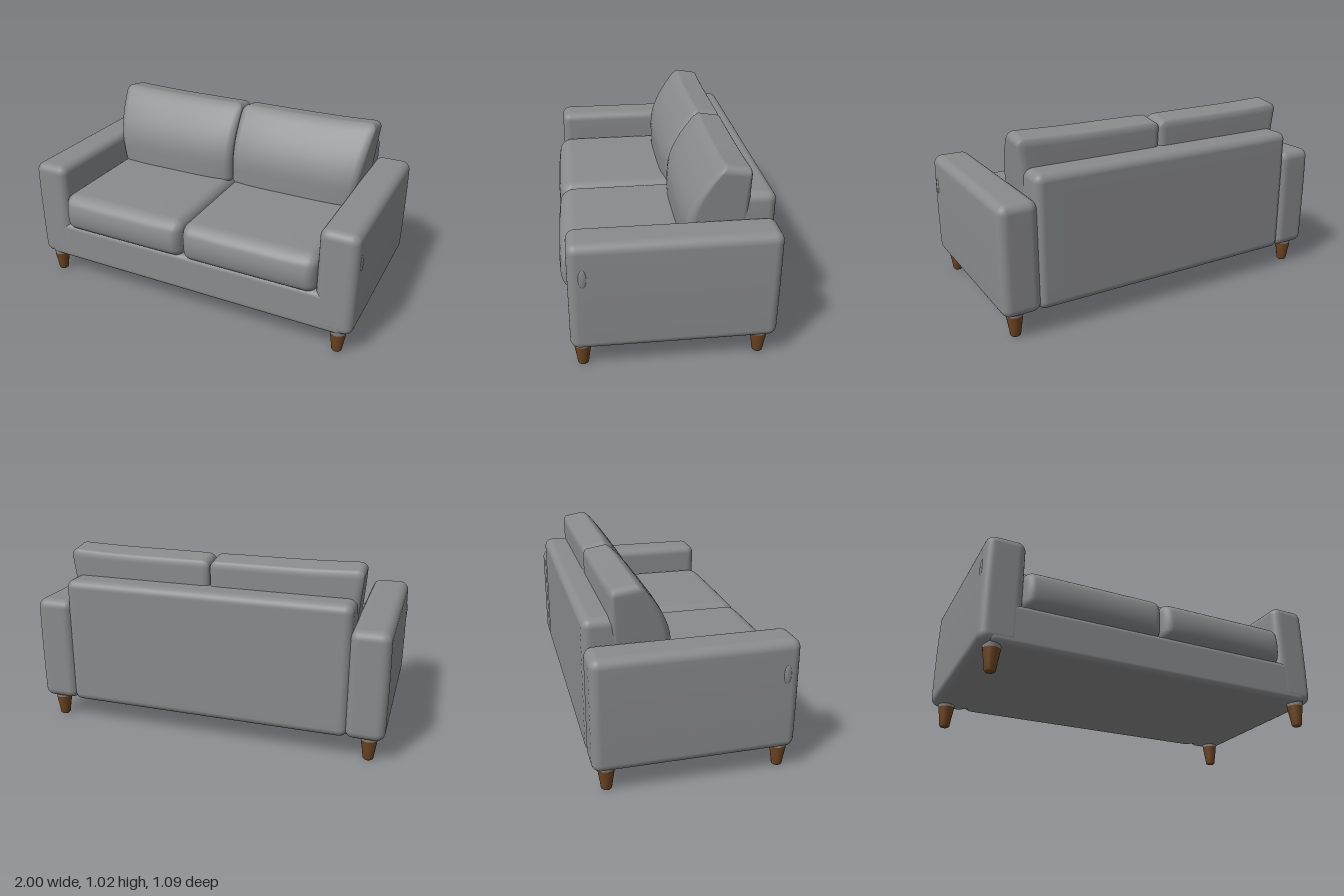
import * as THREE from 'three';
import { mergeVertices } from 'three/addons/utils/BufferGeometryUtils.js';

const N = 20, CORNER = 5; // segments per side, of which CORNER at each rounded end

// Rounded box given by its min/max corners; warp(p, u) may move a point p,
// where u holds the point's place in the box from -1 to 1 on each axis.
function softBox(min, max, r, warp) {
  const lo = new THREE.Vector3(...min), hi = new THREE.Vector3(...max);
  const mid = lo.clone().add(hi).multiplyScalar(0.5);
  const half = hi.clone().sub(lo).multiplyScalar(0.5);
  let geo = new THREE.BoxGeometry(2, 2, 2, N, N, N);
  const pos = geo.attributes.position;
  const p = new THREE.Vector3(), core = new THREE.Vector3(), u = new THREE.Vector3();

  // Spread the grid so the rounded ends get dense, even steps
  const place = (v, h) => {
    const i = Math.abs(Math.round(v * N / 2)), flat = N / 2 - CORNER, inner = h - r;
    const d = i <= flat ? inner * i / flat
      : inner + r * Math.tan((i - flat) / CORNER * Math.PI / 4);
    return Math.sign(v) * d;
  };

  for (let i = 0; i < pos.count; i++) {
    p.fromBufferAttribute(pos, i);
    p.set(place(p.x, half.x), place(p.y, half.y), place(p.z, half.z));
    const inner = half.clone().subScalar(r);
    core.copy(p).clamp(inner.clone().negate(), inner);
    p.sub(core).setLength(r).add(core);
    u.copy(p).divide(half);
    p.add(mid);
    if (warp) warp(p, u);
    pos.setXYZ(i, p.x, p.y, p.z);
  }
  geo.deleteAttribute('uv');
  geo.deleteAttribute('normal');
  geo = mergeVertices(geo, 1e-5);
  geo.computeVertexNormals();
  return geo;
}

export function createModel() {
  const sofa = new THREE.Group();
  sofa.name = 'sofa';
  const fabric = new THREE.MeshStandardMaterial({ color: 0x8a8b8d });
  fabric.name = 'grey fabric';
  const wood = new THREE.MeshStandardMaterial({ color: 0x6e4522 });
  wood.name = 'brown wood';

  const add = (name, geo, mat = fabric) => {
    const mesh = new THREE.Mesh(geo, mat);
    mesh.name = name;
    sofa.add(mesh);
    return mesh;
  };

  // Frame
  add('base', softBox([-0.94, 0.132, -0.5], [0.94, 0.36, 0.504], 0.03));
  add('backFrame', softBox([-0.797, 0.132, -0.545], [0.797, 0.855, -0.3], 0.045));

  // Leg outline: rounded foot widening to the top
  const legProfile = [[0, 0], [0.022, 0], [0.028, 0.006], [0.034, 0.05], [0.042, 0.1], [0.044, 0.117]]
    .map(([x, y]) => new THREE.Vector2(x, y));
  const legGeo = new THREE.LatheGeometry(legProfile, 24);
  const collarGeo = new THREE.CylinderGeometry(0.048, 0.043, 0.03, 24);

  for (const side of [1, -1]) {
    const label = side > 0 ? 'left' : 'right';
    const span = (a, b) => side > 0 ? [a, b] : [-b, -a];

    // Armrest with a faintly bulged outer face
    const [a0, a1] = span(0.78, 0.99);
    add(label + 'Armrest', softBox([a0, 0.132, -0.545], [a1, 0.73, 0.505], 0.048, (p, u) => {
      if (u.x * side > 0) p.x += side * 0.004 * (1 - u.y * u.y);
    }));

    // Small oval dimple pad on the arm's outer face
    const pad = add(label + 'ArmPad', new THREE.SphereGeometry(1, 20, 12));
    pad.scale.set(0.007, 0.05, 0.02);
    pad.position.set(side * 0.992, 0.555, 0.432);

    // Seat cushion with a swollen front
    const [s0, s1] = span(0.002, 0.785);
    add(label + 'SeatCushion', softBox([s0, 0.338, -0.35], [s1, 0.568, 0.51], 0.055, (p, u) => {
      const front = Math.max(0, u.z) ** 6;
      p.z += 0.034 * front * (1 - u.y * u.y) * (1 - 0.3 * u.x ** 4);
      if (u.y > 0) p.y += 0.006 * (1 - u.x * u.x) * (1 - u.z * u.z);
    }));

    // Back cushion: leaning, bulged front, flaring outwards to the top
    const [b0, b1] = span(0.002, 0.782);
    add(label + 'BackCushion', softBox([b0, 0.54, -0.41], [b1, 1.0, -0.08], 0.04, (p, u) => {
      const v = (u.y + 1) / 2, f = (u.z + 1) / 2, out = u.x * side;
      const edge = u.x ** 4;
      const front = -0.08 - 0.18 * Math.max(0, (v - 0.3) / 0.7) ** 1.8
        - (out > 0 ? 0.028 : 0.036) * edge * (1 - 0.6 * v);
      p.z = -0.41 + f * (front + 0.41);
      const w = (out + 1) / 2;
      p.x += side * w * w * (0.045 * v - 0.015 * f * (1 - v));
      p.y += v * v * (0.012 * Math.max(0, out) ** 2 - 0.012 * (1 - f) + 0.012 * f);
    }));

    // Legs
    for (const [end, z] of [['Front', 0.445], ['Back', -0.466]]) {
      add(label + end + 'Leg', legGeo, wood).position.set(side * 0.908, 0, z);
      add(label + end + 'LegCollar', collarGeo).position.set(side * 0.908, 0.13, z);
    }
  }
  return sofa;
}
